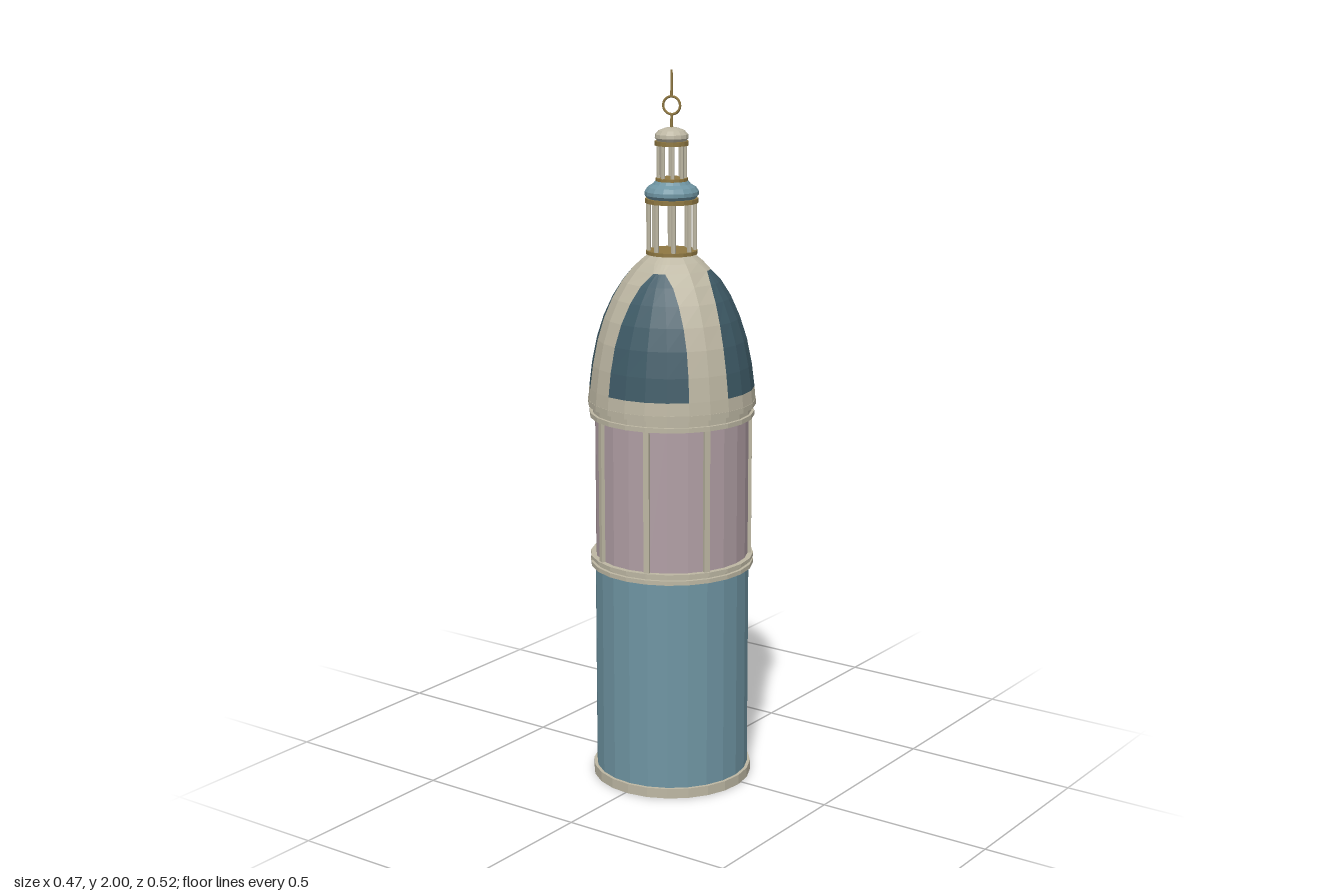
import * as THREE from 'three';

const mat = (name, color, extra = {}) => {
  const m = new THREE.MeshStandardMaterial({ color, ...extra });
  m.name = name;
  return m;
};

export function createModel() {
  const flat = { flatShading: true };
  const stone = mat('stone', 0xbdb7a3, flat);
  const blue = mat('blueWall', 0x6f95a3, flat);
  const rose = mat('roseWall', 0xb19fa5, flat);
  const slate = mat('slate', 0x3e5a66, flat);
  const gold = mat('gold', 0x8f7842, flat);

  const root = new THREE.Group();
  root.name = 'domedTower';
  const tower = new THREE.Group();
  tower.name = 'tower';
  tower.rotation.y = 0.3;
  tower.position.z = 0.027;
  root.add(tower);

  const add = (name, geo, material, x = 0, y = 0, z = 0, parent = tower) => {
    const m = new THREE.Mesh(geo, material);
    m.name = name;
    m.position.set(x, y, z);
    parent.add(m);
    return m;
  };
  const disc = (name, r, y0, y1, material, sides = 24) =>
    add(name, new THREE.CylinderGeometry(r, r, y1 - y0, sides), material, 0, (y0 + y1) / 2);
  const box = (name, w, h, d, material, x, y, z, parent) =>
    add(name, new THREE.BoxGeometry(w, h, d), material, x, y, z, parent);
  const lathe = (name, pts, material, sides) =>
    add(name, new THREE.LatheGeometry(pts.map(p => new THREE.Vector2(...p)), sides), material);

  // Shaft, drum and ring mouldings
  disc('plinth', 0.225, 0, 0.028, stone);
  disc('shaft', 0.216, 0.028, 0.63, blue);
  disc('drum', 0.214, 0.63, 1.07, rose);
  disc('lowerCorniceCore', 0.22, 0.625, 0.655, stone);
  disc('lowerCorniceRing', 0.229, 0.625, 0.637, stone);
  disc('lowerCorniceRing', 0.229, 0.645, 0.655, stone);
  disc('upperCorniceRing', 0.229, 1.053, 1.066, stone);
  disc('upperCorniceCore', 0.221, 1.06, 1.09, stone);
  disc('upperCorniceRing', 0.233, 1.084, 1.1, stone);

  // Slim pilasters on the drum
  for (const deg of [0, 44, 106, 142, 180, -142, -106, -44]) {
    const a = THREE.MathUtils.degToRad(deg);
    const p = box('pilaster', 0.016, 0.4, 0.014, stone, Math.sin(a) * 0.216, 0.854, Math.cos(a) * 0.216);
    p.rotation.y = a;
  }

  // Dome rows: radius, height, half angle of the slate panel
  const rows = [
    [0.232, 1.1, 30], [0.229, 1.135, 30], [0.221, 1.2, 30], [0.207, 1.27, 29.5],
    [0.188, 1.33, 28], [0.163, 1.385, 25], [0.135, 1.43, 20], [0.108, 1.463, 9],
    [0.085, 1.485, 15], [0.06, 1.505, 15],
  ];
  const ribVerts = [], panelVerts = [];
  const domePoint = (row, q, c) => {
    const [r, y, half] = rows[row];
    const deg = q * 90 + [-45, -half, -half / 2, 0, half / 2, half, 45][c];
    const a = THREE.MathUtils.degToRad(deg);
    return [Math.sin(a) * r, y, Math.cos(a) * r];
  };
  for (let q = 0; q < 4; q++) {
    for (let i = 0; i < rows.length - 1; i++) {
      for (let c = 0; c < 6; c++) {
        const isPanel = i >= 1 && i <= 6 && c >= 1 && c <= 4;
        const p0 = domePoint(i, q, c), p1 = domePoint(i, q, c + 1);
        const p2 = domePoint(i + 1, q, c + 1), p3 = domePoint(i + 1, q, c);
        (isPanel ? panelVerts : ribVerts).push(...p0, ...p1, ...p2, ...p0, ...p2, ...p3);
      }
    }
  }
  const soup = verts => {
    const g = new THREE.BufferGeometry();
    g.setAttribute('position', new THREE.Float32BufferAttribute(verts, 3));
    g.computeVertexNormals();
    return g;
  };
  add('domeRibs', soup(ribVerts), stone);
  add('domePanels', soup(panelVerts), slate);

  // Open lantern storey: ring of posts between two gilded rings
  const lantern = (name, r, y0, y1, postR, count) => {
    disc(name + 'Floor', r + 0.008, y0, y0 + 0.01, gold, 16);
    disc(name + 'TopRing', r + 0.01, y1 - 0.012, y1, gold, 16);
    for (let i = 0; i < count; i++) {
      const a = ((i + 0.5) / count) * Math.PI * 2;
      add(name + 'Post', new THREE.CylinderGeometry(postR, postR, y1 - y0 - 0.016, 6), stone,
        Math.sin(a) * r, (y0 + y1) / 2, Math.cos(a) * r);
    }
  };
  lantern('lowerLantern', 0.063, 1.503, 1.655, 0.0065, 8);
  lathe('lanternDome', [[0.066, 1.655], [0.074, 1.664], [0.074, 1.674], [0.066, 1.686], [0.052, 1.694],
    [0.046, 1.702], [0, 1.702]], blue, 16);
  lantern('upperLantern', 0.036, 1.7, 1.81, 0.0055, 8);
  lathe('cap', [[0, 1.808], [0.04, 1.81], [0.046, 1.818], [0.045, 1.828], [0.036, 1.838], [0.018, 1.845],
    [0, 1.847]], stone, 14);

  // Finial
  add('finialRod', new THREE.CylinderGeometry(0.0035, 0.0045, 0.038, 6), gold, 0, 1.863);
  add('finialRing', new THREE.TorusGeometry(0.024, 0.0035, 6, 20), gold, 0, 1.905);
  add('finialSpike', new THREE.CylinderGeometry(0.003, 0.004, 0.073, 6), gold, 0, 1.9635);

  // Balcony and door on the back wall
  const balcony = new THREE.Group();
  balcony.name = 'balcony';
  tower.add(balcony);
  box('balconySlab', 0.152, 0.018, 0.08, stone, 0, 0.429, -0.24, balcony);
  box('frontRail', 0.144, 0.008, 0.014, stone, 0, 0.472, -0.27, balcony);
  for (let i = 0; i < 7; i++) {
    add('baluster', new THREE.CylinderGeometry(0.004, 0.005, 0.032, 6), stone,
      -0.066 + i * 0.022, 0.453, -0.27, balcony);
  }
  for (const s of [-1, 1]) {
    box('sideRail', 0.012, 0.008, 0.06, stone, s * 0.066, 0.472, -0.238, balcony);
    for (const z of [-0.25, -0.23]) {
      add('sideBaluster', new THREE.CylinderGeometry(0.004, 0.005, 0.032, 6), stone, s * 0.066, 0.453, z, balcony);
    }
    box('bracket', 0.016, 0.036, 0.024, stone, s * 0.055, 0.404, -0.222, balcony);
    add('doorColumn', new THREE.CylinderGeometry(0.006, 0.007, 0.16, 8), stone, s * 0.046, 0.517, -0.219, balcony);
    box('columnCapital', 0.019, 0.012, 0.018, stone, s * 0.046, 0.602, -0.219, balcony);
    // Curled half of the broken pediment
    const curve = new THREE.CatmullRomCurve3([
      new THREE.Vector3(s * 0.078, 0.638, -0.222), new THREE.Vector3(s * 0.055, 0.652, -0.228),
      new THREE.Vector3(s * 0.03, 0.672, -0.23),
    ]);
    add('pedimentScroll', new THREE.TubeGeometry(curve, 8, 0.008, 6), stone, 0, 0, 0, balcony);
    add('scrollEnd', new THREE.SphereGeometry(0.013, 10, 8), stone, s * 0.074, 0.642, -0.222, balcony);
    add('scrollTip', new THREE.SphereGeometry(0.012, 10, 8), stone, s * 0.032, 0.674, -0.23, balcony);
  }
  box('door', 0.084, 0.165, 0.008, slate, 0, 0.52, -0.214, balcony);
  box('doorLintel', 0.12, 0.014, 0.022, stone, 0, 0.615, -0.219, balcony);
  const shell = add('pedimentShell', new THREE.SphereGeometry(0.02, 12, 8), stone, 0, 0.648, -0.226, balcony);
  shell.scale.set(1.8, 0.8, 0.6);

  return root;
}
